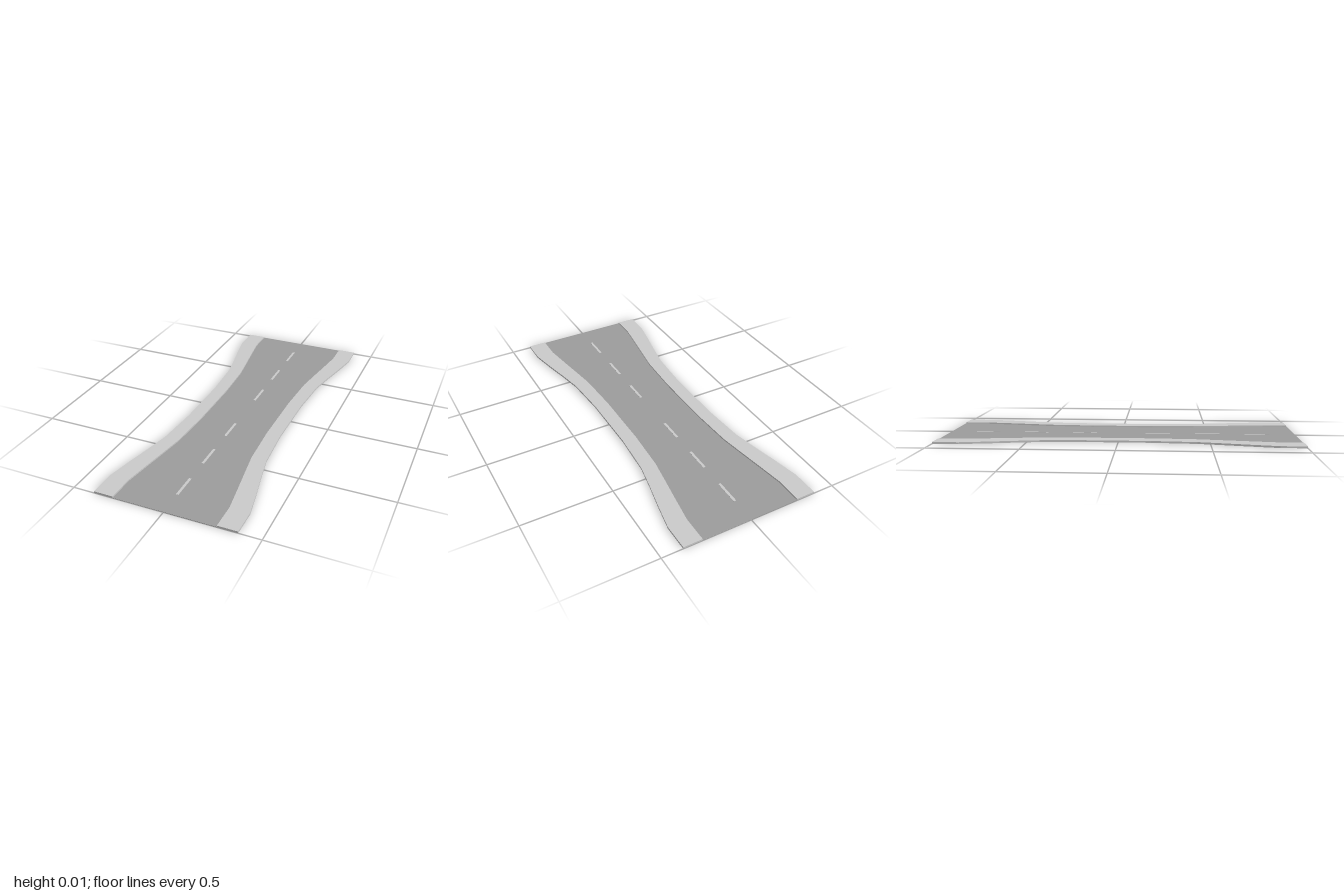
import * as THREE from 'three';

// Half widths [x, z] of one quarter of the road, from the middle to the end
const inner = [[0.203, 0], [0.203, 0.18], [0.215, 0.43], [0.235, 0.57], [0.256, 0.71], [0.277, 0.857], [0.277, 1]];
const outer = [[0.282, 0], [0.282, 0.18], [0.298, 0.43], [0.325, 0.57], [0.355, 0.71], [0.383, 0.857], [0.383, 1]];

const pale = new THREE.MeshStandardMaterial({ color: 0xcccccc });
const asphalt = new THREE.MeshStandardMaterial({ color: 0x9d9d9d });

// Whole edge along the road, from z = -1 to z = 1, on side sx
function edge(profile, sx) {
  const back = profile.slice(1).reverse().map(([x, z]) => [x * sx, -z]);
  return [...back, ...profile.map(([x, z]) => [x * sx, z])];
}

// Flat slab with a plan outline given as [x, z], between heights y0 and y1
function slab(name, outline, y0, y1, material) {
  const shape = new THREE.Shape(outline.map(([x, z]) => new THREE.Vector2(x, -z)));
  const geometry = new THREE.ExtrudeGeometry(shape, { depth: y1 - y0, bevelEnabled: false });
  geometry.rotateX(-Math.PI / 2).translate(0, y0, 0);
  const mesh = new THREE.Mesh(geometry, material);
  mesh.name = name;
  return mesh;
}

export function createModel() {
  const group = new THREE.Group();
  group.name = 'road';

  // Carriageway
  const roadOutline = [...edge(inner, 1), ...edge(inner, -1).reverse()];
  group.add(slab('roadSurface', roadOutline, 0.001, 0.002, asphalt));

  for (const sx of [-1, 1]) {
    // Raised pavements
    const walk = [...edge(inner, sx), ...edge(outer, sx).reverse()];
    group.add(slab(sx > 0 ? 'leftPavement' : 'rightPavement', walk, 0, 0.01, pale));

    // Road bed in quarters, alternating in shade
    for (const sz of [-1, 1]) {
      const quarter = [[0, 0], ...inner.map(([x, z]) => [x * sx, z * sz]), [0, sz]];
      group.add(slab('roadBed', quarter, 0, 0.001, sx === sz ? asphalt : pale));
    }
  }

  // Dashed centre line
  const dash = new THREE.BoxGeometry(0.014, 0.001, 1 / 7);
  for (const sz of [-1, 1]) {
    for (let i = 0; i < 3; i++) {
      const mesh = new THREE.Mesh(dash, pale);
      mesh.name = 'laneDash';
      mesh.position.set(-0.002, 0.0022, sz * (1.5 + 2 * i) / 7);
      group.add(mesh);
    }
  }
  return group;
}
